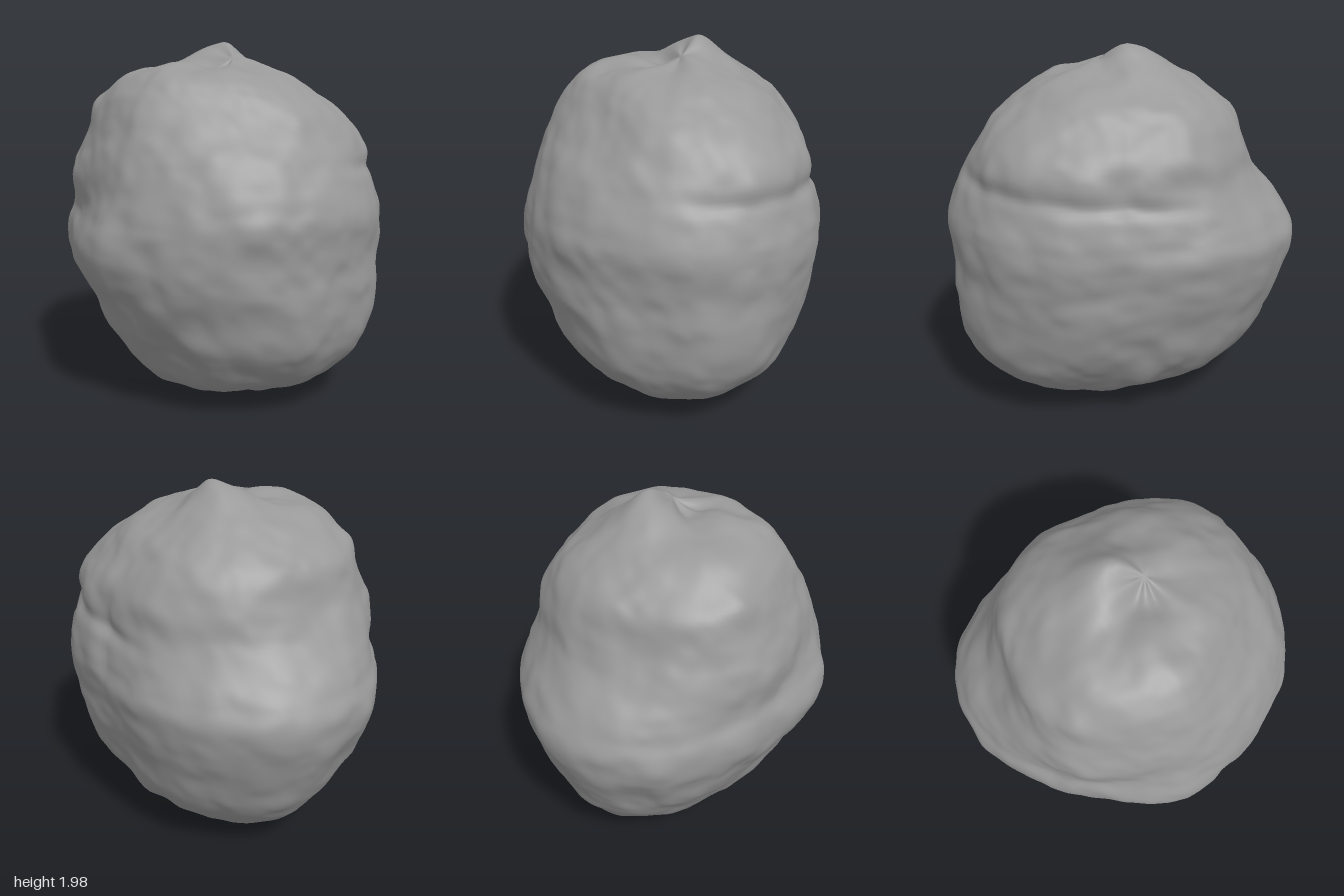
import * as THREE from 'three';
import { mergeVertices } from 'three/addons/utils/BufferGeometryUtils.js';

// Cross-sections from bottom to top: y, right/left extents in x, back/front extents in z
const SECTIONS = [
  [0.07, 0.23, 0.23, -0.09, -0.09],
  [0.05, -0.2, 0.35, -0.21, 0.17],
  [0.1, -0.42, 0.52, -0.38, 0.34],
  [0.2, -0.6, 0.74, -0.55, 0.48],
  [0.35, -0.75, 0.87, -0.67, 0.6],
  [0.5, -0.84, 0.93, -0.75, 0.69],
  [0.7, -0.92, 0.945, -0.81, 0.79],
  [0.85, -0.97, 0.94, -0.83, 0.84],
  [1.0, -0.98, 0.95, -0.85, 0.84],
  [1.1, -0.93, 0.955, -0.83, 0.81],
  [1.2, -0.85, 0.935, -0.8, 0.77],
  [1.35, -0.73, 0.87, -0.76, 0.71],
  [1.5, -0.66, 0.8, -0.73, 0.65],
  [1.65, -0.61, 0.7, -0.62, 0.59],
  [1.75, -0.5, 0.6, -0.53, 0.53],
  [1.83, -0.36, 0.46, -0.4, 0.42],
  [1.88, -0.15, 0.28, -0.22, 0.2],
  [1.89, 0.13, 0.13, -0.07, -0.07],
];

// Seeded smooth value noise in -1..1
function hash(x, y, z) {
  const s = Math.sin(x * 127.1 + y * 311.7 + z * 74.7 + 5.3) * 43758.5453;
  return (s - Math.floor(s)) * 2 - 1;
}
function noise(x, y, z) {
  const ix = Math.floor(x), iy = Math.floor(y), iz = Math.floor(z);
  const ease = (t) => t * t * t * (t * (t * 6 - 15) + 10);
  const u = ease(x - ix), v = ease(y - iy), w = ease(z - iz);
  const lerp = THREE.MathUtils.lerp;
  const edge = (j, k) => lerp(hash(ix, iy + j, iz + k), hash(ix + 1, iy + j, iz + k), u);
  return lerp(lerp(edge(0, 0), edge(1, 0), v), lerp(edge(0, 1), edge(1, 1), v), w);
}
const gauss = (d, width) => Math.exp(-(d * d) / (width * width));
const { smoothstep, clamp } = THREE.MathUtils;

function rockGeometry() {
  const curve = (a, b) => new THREE.CatmullRomCurve3(
    SECTIONS.map((s) => new THREE.Vector3(s[a], s[0], s[b])), false, 'catmullrom');
  const sides = curve(1, 2), depth = curve(3, 4);
  const geometry = new THREE.SphereGeometry(1, 160, 120);
  const { position, uv } = geometry.attributes;
  const p = new THREE.Vector3(), dir = new THREE.Vector3();

  for (let i = 0; i < position.count; i++) {
    const angle = uv.getX(i) * Math.PI * 2;
    const t = Math.acos(clamp(-position.getY(i), -1, 1)) / Math.PI;
    const s = sides.getPoint(t), d = depth.getPoint(t);
    const c = -Math.cos(angle), f = Math.sin(angle);

    // Wedge-shaped front and squarer back, with each shoulder fuller or more sloping
    const corner = (cx, cz) => Math.max(0, (c * cx + f * cz) * Math.SQRT1_2) ** 6;
    const k = 1 - 0.065 * Math.abs(2 * c * f) * Math.sign(f)
      + corner(-1, 1) * (0.21 * smoothstep(s.y, 1.05, 1.4) - 0.035)
      + corner(1, 1) * (0.04 - 0.16 * smoothstep(s.y, 1.4, 1.75))
      - corner(1, -1) * 0.06 * smoothstep(s.y, 1.5, 1.75);
    const halfWidth = (s.z - s.x) / 2, halfDepth = (d.z - d.x) / 2;
    p.set((s.x + s.z) / 2 + (c * k + 0.05 * f * f) * halfWidth, s.y, (d.x + d.z) / 2 + f * k * halfDepth);

    // Lumpy stone surface
    dir.set(p.x, p.y - 1, p.z).normalize();
    const { x, y, z } = p;
    let bump = 0.016 * noise(x * 3.2, y * 3.2, z * 3.2)
      + 0.013 * noise(x * 6.5 + 7, y * 6.5, z * 6.5)
      + 0.005 * noise(x * 13, y * 13 + 3, z * 13);

    // Ledge groove across the back, climbing to the left
    const ledge = smoothstep(c * 0.5 - f * 0.87, 0.45, 0.9);
    bump -= 0.022 * ledge * gauss(y - 1.3 - 0.06 * c, 0.04);
    p.addScaledVector(dir, bump);

    // Knob beside the top pole, with a hollow in front of it
    if (y > 1.5) {
      p.y += 0.12 * gauss(x + 0.05, 0.19) * gauss(z + 0.13, 0.15);
      p.y -= 0.04 * gauss(x - 0.08, 0.11) * gauss(z - 0.04, 0.11);
    }

    // Small lip under the base
    if (y < 0.3) p.y -= 0.025 * gauss(x - 0.1, 0.09) * gauss(z, 0.09);

    // Creases pinched into both poles
    const r = y > 1 ? Math.hypot(x - 0.13, z + 0.07) : Math.hypot(x - 0.23, z + 0.09);
    if (y > 1.5 || y < 0.4) p.y += 0.2 * r * Math.exp(-r / 0.14) * Math.sin(angle * 5 + 0.8);
    position.setXYZ(i, p.x, p.y, p.z);
  }

  // Weld the seam for continuous shading and stand the rock on the ground
  geometry.deleteAttribute('uv');
  geometry.deleteAttribute('normal');
  const rock = mergeVertices(geometry, 1e-5);
  rock.computeBoundingBox();
  rock.translate(0, -rock.boundingBox.min.y, 0);
  rock.computeVertexNormals();
  return rock;
}

export function createModel() {
  const group = new THREE.Group();
  group.name = 'boulder';
  const stone = new THREE.MeshStandardMaterial({ color: 0x999999 });
  stone.name = 'stone grey';
  const rock = new THREE.Mesh(rockGeometry(), stone);
  rock.name = 'rock';
  group.add(rock);
  return group;
}
